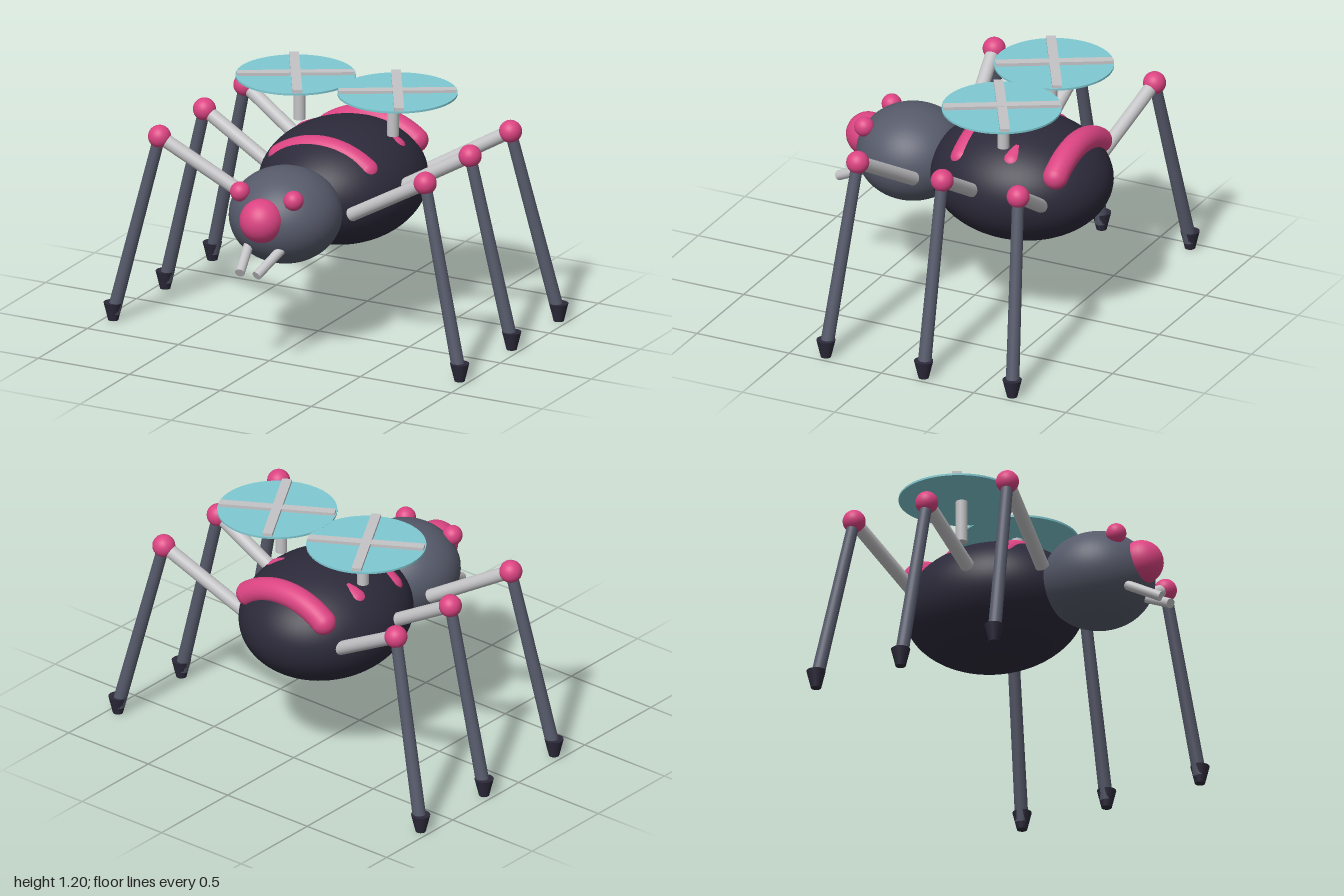
import * as THREE from 'three';

const mat = (name, color) => {
  const m = new THREE.MeshStandardMaterial({ color });
  m.name = name;
  return m;
};

export function createModel() {
  const dark = mat('dark shell', 0x2c2a3a);
  const slate = mat('slate grey', 0x565a6a);
  const pale = mat('pale grey', 0xc4c4c7);
  const pink = mat('pink', 0xdb4482);
  const teal = mat('teal', 0x7fc9d2);

  const model = new THREE.Group();
  model.name = 'mechanicalBug';

  const add = (name, geo, material, x = 0, y = 0, z = 0, parent = model) => {
    const mesh = new THREE.Mesh(geo, material);
    mesh.name = name;
    mesh.position.set(x, y, z);
    parent.add(mesh);
    return mesh;
  };
  const ball = (name, r, material, x, y, z, parent) =>
    add(name, new THREE.SphereGeometry(r, 32, 20), material, x, y, z, parent);

  // straight rod between two points
  const rod = (name, a, b, ra, rb, material, parent) => {
    const from = new THREE.Vector3(...a), to = new THREE.Vector3(...b);
    const dir = to.clone().sub(from);
    const mid = from.clone().add(to).multiplyScalar(0.5);
    const mesh = add(name, new THREE.CylinderGeometry(rb, ra, dir.length(), 20), material, mid.x, mid.y, mid.z, parent);
    mesh.quaternion.setFromUnitVectors(new THREE.Vector3(0, 1, 0), dir.normalize());
    return mesh;
  };

  // body and head
  add('abdomen', new THREE.SphereGeometry(1, 64, 40), dark, 0, 0.7, -0.255).scale.set(0.4, 0.3, 0.456);
  add('head', new THREE.SphereGeometry(1, 48, 32), slate, 0, 0.7, 0.335).scale.set(0.275, 0.235, 0.275);
  ball('centreEye', 0.108, pink, 0, 0.74, 0.578);

  // raised arcs across the back: z, top height, outer radius, half angle
  const tube = 0.062;
  for (const [z, top, outer, half] of [
    [-0.055, 0.978, 0.46, 0.63],
    [-0.325, 0.99, 0.6, 0.46],
    [-0.557, 0.985, 0.46, 0.63],
  ]) {
    const stripe = new THREE.Group();
    stripe.name = 'backStripe';
    stripe.position.set(0, top - outer, z);
    model.add(stripe);
    const R = outer - tube;
    const arc = new THREE.TorusGeometry(R, tube, 24, 40, half * 2);
    arc.rotateZ(Math.PI / 2 - half);
    add('stripeArc', arc, pink, 0, 0, 0, stripe);
    for (const s of [-1, 1]) {
      ball('stripeEnd', tube, pink, s * R * Math.sin(half), R * Math.cos(half), 0, stripe);
    }
  }

  for (const s of [-1, 1]) {
    const side = s > 0 ? 'left' : 'right';

    // face details
    ball(side + 'Eye', 0.049, pink, s * 0.147, 0.85, 0.525);
    rod(side + 'Fang', [s * 0.092, 0.602, 0.53], [s * 0.046, 0.507, 0.715], 0.024, 0.024, pale);

    // three legs: hip z, knee z, foot z
    [[0.19, 0.265, 0.325], [-0.172, -0.193, -0.205], [-0.51, -0.605, -0.685]].forEach(([hip, knee, foot], i) => {
      const leg = new THREE.Group();
      leg.name = side + ['Front', 'Middle', 'Rear'][i] + 'Leg';
      model.add(leg);
      rod('upperLeg', [s * 0.285, 0.7, hip], [s * 0.73, 0.957, knee], 0.034, 0.034, pale, leg);
      ball('knee', 0.056, pink, s * 0.73, 0.957, knee, leg);
      rod('lowerLeg', [s * 0.73, 0.957, knee], [s * 0.95, 0.04, foot], 0.029, 0.033, slate, leg);
      add('foot', new THREE.CylinderGeometry(0.047, 0.025, 0.09, 20), dark, s * 0.952, 0.045, foot, leg);
    });

    // rotor: shaft, disc and crossed blades
    const rotor = new THREE.Group();
    rotor.name = side + 'Rotor';
    model.add(rotor);
    rod('shaft', [s * 0.257, 0.957, -0.285], [s * 0.257, 1.172, -0.285], 0.029, 0.029, pale, rotor);
    // the two discs overlap, so offset one by a hair
    add('disc', new THREE.CylinderGeometry(0.291, 0.291, 0.01, 64), teal, s * 0.28, 1.176 + s * 0.0003, -0.288, rotor);
    [0, 1].forEach((k) => {
      const blade = add('blade', new THREE.BoxGeometry(0.57, 0.016, 0.048), pale, s * 0.28, 1.188 + k * 0.001, -0.288, rotor);
      blade.rotation.y = Math.PI / 6 + k * Math.PI / 2;
    });
  }

  return model;
}
